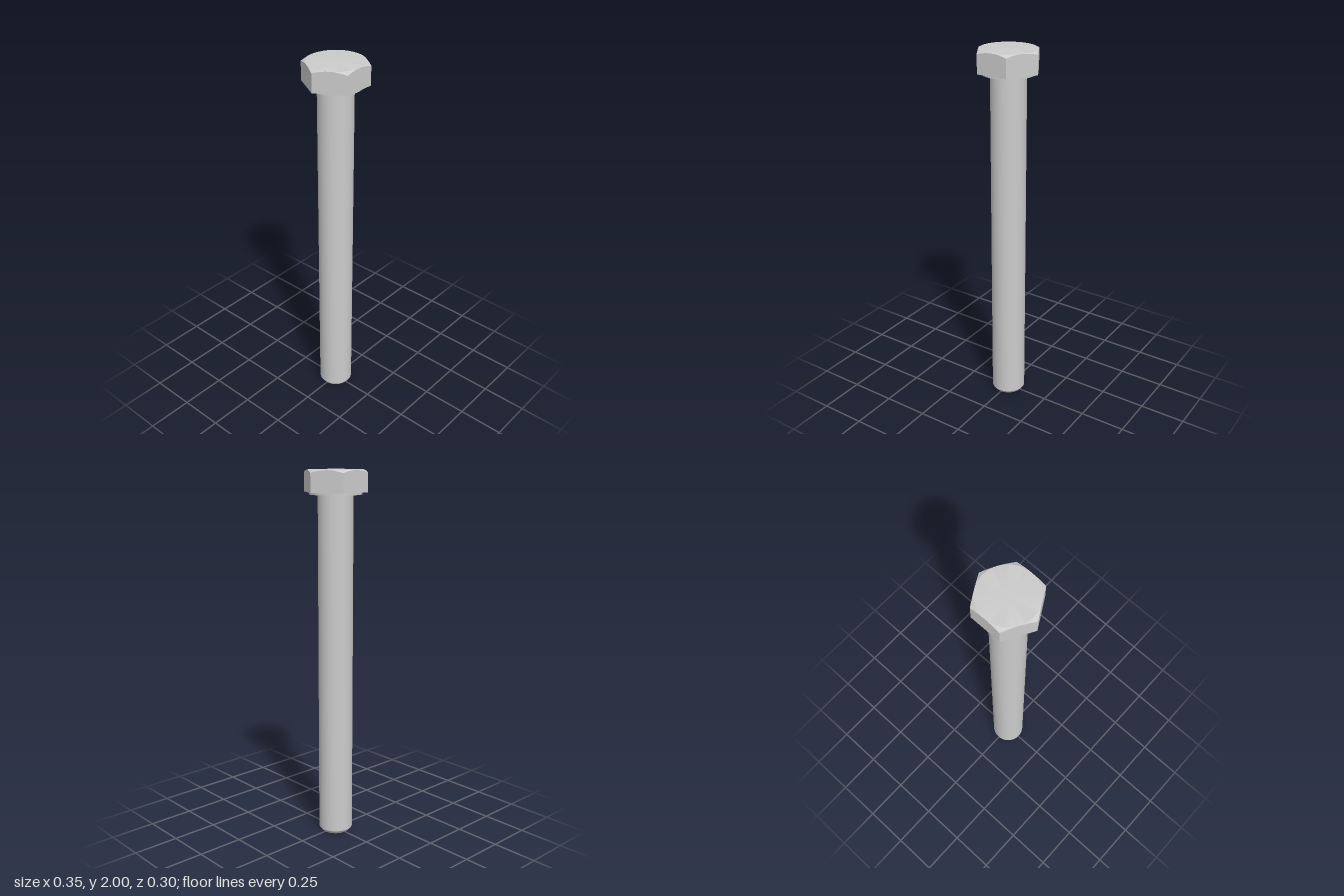
import * as THREE from 'three';
import { toCreasedNormals } from 'three/addons/utils/BufferGeometryUtils.js';

const SEGMENTS = 48;
const APOTHEM = 0.1495; // half the head's width across flats
const TOP = 2, HEAD_BOTTOM = 1.887, WASHER_BOTTOM = 1.875;
const SHANK_R = 0.093, WASHER_R = 0.138;

const material = new THREE.MeshStandardMaterial({ color: 0xcccccc });

function lathe(points) {
  return new THREE.LatheGeometry(points.map(([r, y]) => new THREE.Vector2(r, y)), SEGMENTS);
}

function addPart(group, name, geometry) {
  const mesh = new THREE.Mesh(toCreasedNormals(geometry, 0.35), material);
  mesh.name = name;
  group.add(mesh);
}

// Hexagonal prism whose top corners are cut by a 30 degree cone
function headGeometry() {
  const geometry = lathe([
    [WASHER_R, HEAD_BOTTOM], [1, HEAD_BOTTOM], [1, TOP], [APOTHEM - 0.001, TOP], [0, TOP],
  ]);
  const pos = geometry.attributes.position;
  const sector = Math.PI / 3;
  for (let i = 0; i < pos.count; i++) {
    const x = pos.getX(i), y = pos.getY(i), z = pos.getZ(i);
    if (Math.hypot(x, z) < 0.9) continue;
    // Pull the outer rings in to the hexagon, flats facing front and back
    const angle = Math.atan2(x, z);
    const r = APOTHEM / Math.cos(angle - Math.round(angle / sector) * sector);
    const drop = y === TOP ? (r - APOTHEM) * Math.tan(Math.PI / 6) : 0;
    pos.setXYZ(i, r * Math.sin(angle), y - drop, r * Math.cos(angle));
  }
  return geometry;
}

export function createModel() {
  const bolt = new THREE.Group();
  bolt.name = 'hexBolt';

  // Plain shank with a chamfered tip
  addPart(bolt, 'shank', lathe([
    [0, 0], [0.079, 0], [SHANK_R, 0.018], [SHANK_R, WASHER_BOTTOM],
  ]));

  // Thin round bearing face under the head
  addPart(bolt, 'washerFace', lathe([
    [SHANK_R, WASHER_BOTTOM], [WASHER_R, WASHER_BOTTOM], [WASHER_R, HEAD_BOTTOM],
  ]));

  addPart(bolt, 'head', headGeometry());
  return bolt;
}
